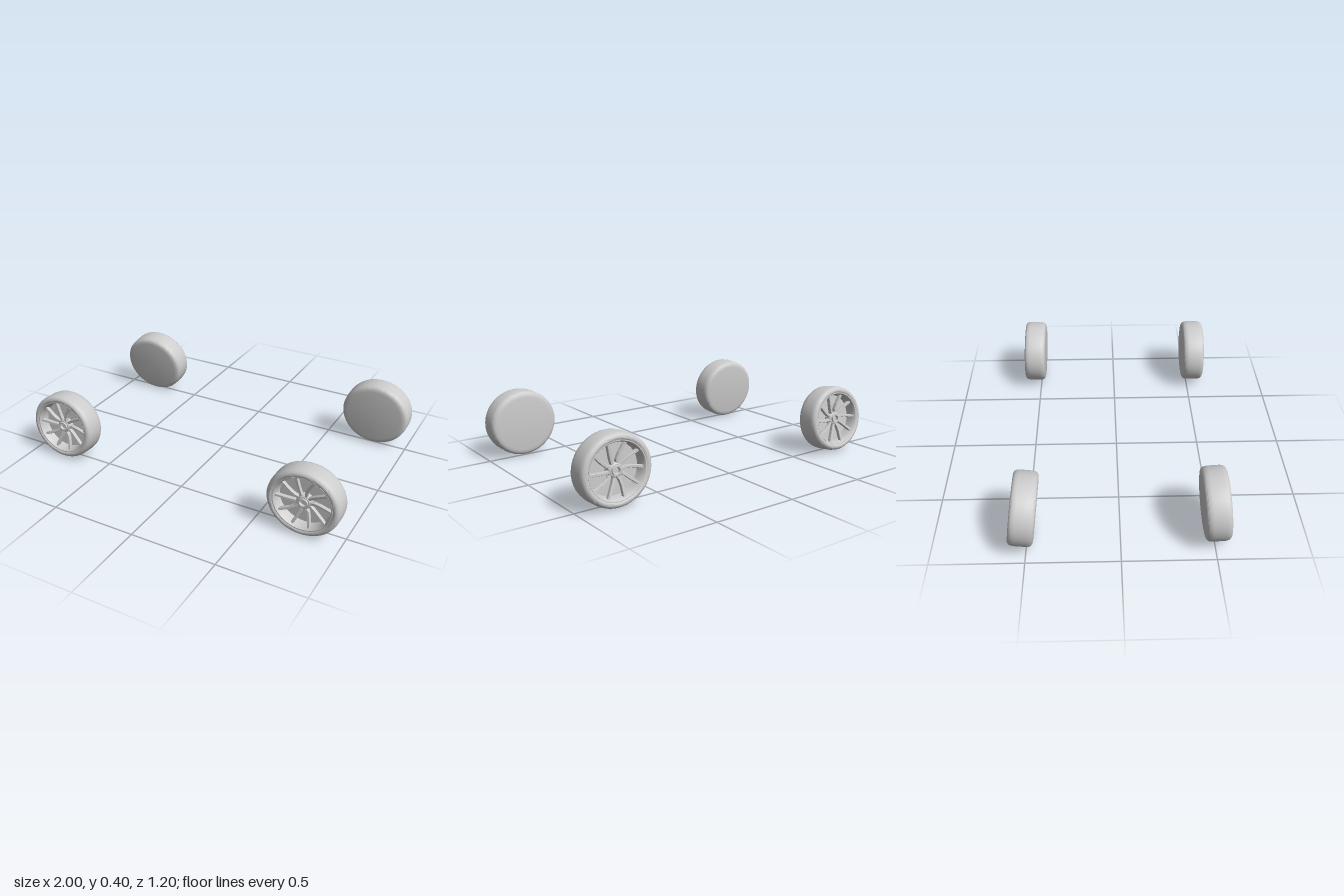
import * as THREE from 'three';
import { toCreasedNormals } from 'three/addons/utils/BufferGeometryUtils.js';

const material = new THREE.MeshStandardMaterial({ color: 0xcccccc });
const RADIUS = 0.206, HALF = 0.0675, SPOKE_GROUPS = 5;

function addMesh(parent, name, geometry) {
  const mesh = new THREE.Mesh(geometry, material);
  mesh.name = name;
  parent.add(mesh);
  return mesh;
}

// Turns a [radius, axial] profile around z
function turned(profile, segments = 64) {
  const points = profile.map(([r, a]) => new THREE.Vector2(r, a));
  const geometry = new THREE.LatheGeometry(points, segments);
  geometry.rotateX(Math.PI / 2);
  return toCreasedNormals(geometry, 0.6);
}

// Flat bent bar described by [radius, angle offset, half width] stations
function spokeGeometry(stations) {
  const left = [], right = [];
  for (const [r, angle, w] of stations) {
    const dir = new THREE.Vector2(Math.cos(angle), Math.sin(angle));
    const side = new THREE.Vector2(-dir.y, dir.x).multiplyScalar(w);
    const centre = dir.multiplyScalar(r);
    left.push(centre.clone().add(side));
    right.push(centre.clone().sub(side));
  }
  const shape = new THREE.Shape([...right, ...left.reverse()]);
  const geometry = new THREE.ExtrudeGeometry(shape, {
    depth: 0.016, bevelSize: 0.002, bevelThickness: 0.003, bevelSegments: 1,
  });
  // Dish the spokes towards the hub
  const p = geometry.attributes.position;
  for (let i = 0; i < p.count; i++) {
    const r = Math.hypot(p.getX(i), p.getY(i));
    p.setZ(i, p.getZ(i) + 0.034 - 0.12 * (0.16 - r));
  }
  geometry.computeVertexNormals();
  return geometry;
}

// Wheel lying around z with its spoked face towards +z
function createWheel() {
  const wheel = new THREE.Group();

  // Closed inner face, tread, sidewall and recessed floor
  addMesh(wheel, 'tyre', turned([
    [0, -HALF], [0.17, -HALF], [0.186, -0.065], [0.197, -0.059], [0.203, -0.05],
    [RADIUS, -0.03], [RADIUS, 0.035], [0.203, 0.052], [0.197, 0.061],
    [0.188, 0.0665], [0.178, HALF], [0.171, 0.065], [0.167, 0.06],
  ]));
  addMesh(wheel, 'rim', turned([
    [0.169, 0.058], [0.169, 0.064], [0.163, 0.064], [0.157, 0.055],
    [0.152, 0.036], [0.148, 0.005], [0, 0.005],
  ]));

  // Swept pairs of spokes
  const leading = spokeGeometry([
    [0.03, -0.10, 0.007], [0.075, -0.22, 0.0065], [0.158, -0.30, 0.006],
  ]);
  const trailing = spokeGeometry([
    [0.03, 0.25, 0.007], [0.06, 0.46, 0.0065], [0.095, 0.40, 0.006], [0.158, 0.30, 0.006],
  ]);
  for (let i = 0; i < SPOKE_GROUPS; i++) {
    const angle = 0.9 + (i / SPOKE_GROUPS) * Math.PI * 2;
    addMesh(wheel, 'leadingSpoke', leading).rotation.z = angle;
    addMesh(wheel, 'trailingSpoke', trailing).rotation.z = angle;
  }

  // Hub with a hollow centre
  addMesh(wheel, 'hub', turned([
    [0.045, 0.005], [0.042, 0.036], [0.034, 0.042], [0.028, 0.042],
    [0.026, 0.05], [0.02, 0.05], [0.017, 0.036], [0, 0.036],
  ], 30));
  return wheel;
}

export function createModel() {
  const model = new THREE.Group();
  model.name = 'wheelSet';

  // Centre positions and inward lean of each wheel
  const placements = [
    ['frontLeftWheel', 0.778, 0.205, 0.532, 0],
    ['frontRightWheel', -0.784, 0.203, 0.502, 0.068],
    ['rearLeftWheel', 0.794, 0.205, -0.53, 0.036],
    ['rearRightWheel', -0.794, 0.2, -0.51, 0.13],
  ];
  for (const [name, x, y, z, lean] of placements) {
    const wheel = createWheel();
    wheel.name = name;
    wheel.position.set(x, y, z);
    wheel.rotation.set(-Math.sign(z) * lean, z > 0 ? 0 : Math.PI, 0);
    wheel.scale.y = 0.945;
    model.add(wheel);
  }
  return model;
}
